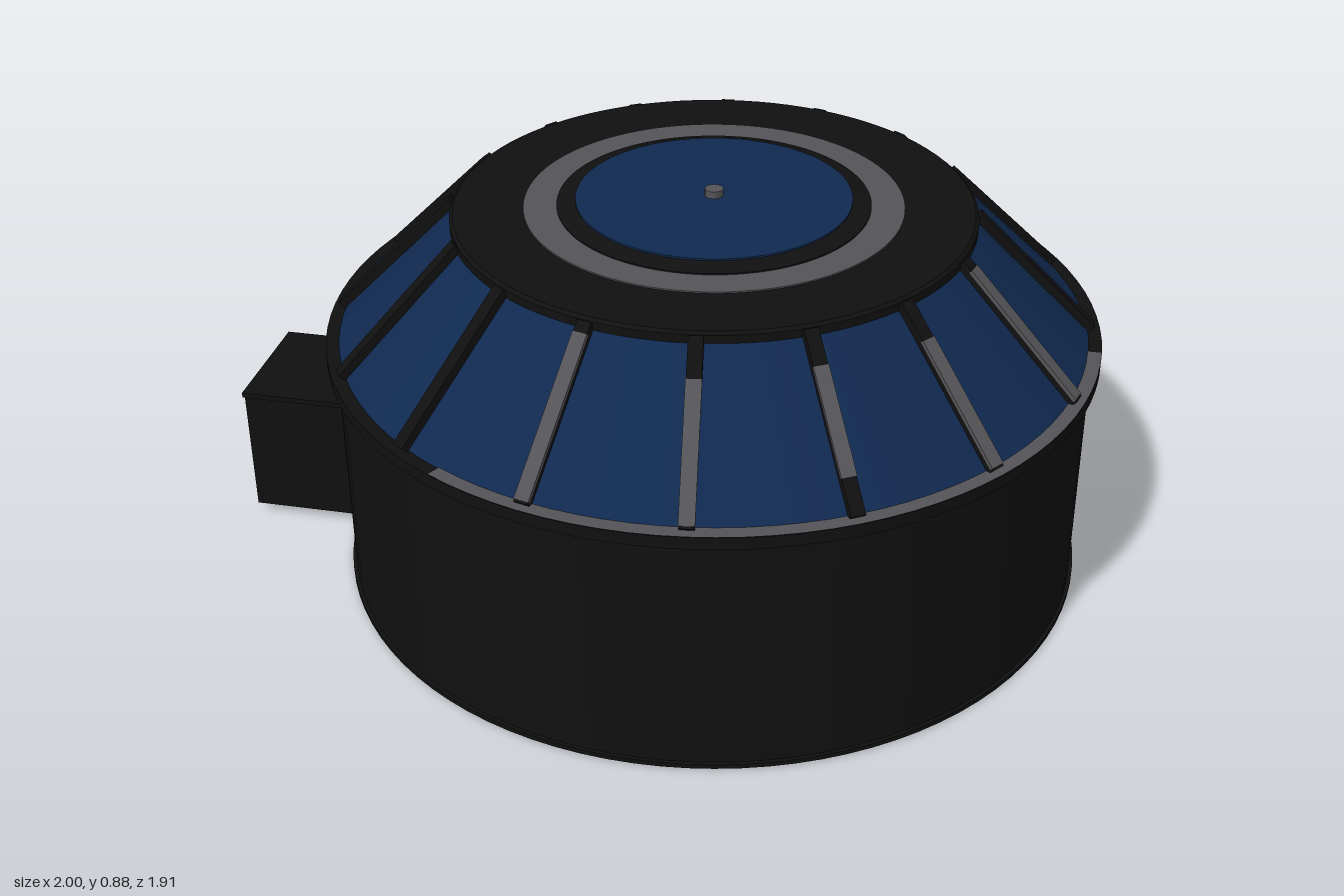
import * as THREE from 'three';
import { toCreasedNormals } from 'three/addons/utils/BufferGeometryUtils.js';

const mat = (name, color) => {
  const m = new THREE.MeshStandardMaterial({ color });
  m.name = name;
  return m;
};

export function createModel() {
  const black = mat('black metal', 0x101010);
  const blue = mat('blue glass', 0x10294f);
  const grey = mat('grey metal', 0x545458);
  const brown = mat('brown trim', 0x4a3a26);
  const darkBrown = mat('dark brown trim', 0x2c261c);

  const model = new THREE.Group();
  model.name = 'roundBuilding';
  const hub = new THREE.Group(); // everything is arranged around this axis
  hub.name = 'hub';
  hub.position.z = 0.115;
  model.add(hub);

  const add = (name, geometry, material, parent = hub) => {
    const mesh = new THREE.Mesh(geometry, material);
    mesh.name = name;
    parent.add(mesh);
    return mesh;
  };
  // Revolved profile; angles in degrees measured from the front (+z)
  const turn = (name, material, points, from = 0, sweep = 360) => {
    const g = new THREE.LatheGeometry(points.map(([r, y]) => new THREE.Vector2(r, y)),
      Math.round(sweep / 3.75), THREE.MathUtils.degToRad(from), THREE.MathUtils.degToRad(sweep));
    return add(name, toCreasedNormals(g, 0.4), material);
  };

  // Drum with a slim foot
  turn('drum', black, [[0, 0], [0.83, 0], [0.83, 0.01], [0.822, 0.01], [0.822, 0.545]]);
  turn('rim', black, [[0.81, 0.54], [0.842, 0.54], [0.842, 0.567], [0.79, 0.567]]);
  turn('frontRimTrim', grey, [[0.842, 0.569], [0.79, 0.569]], -60, 120);

  // Sloping glass and flat roof
  turn('glassSlope', blue, [[0.815, 0.566], [0.55, 0.83]]);
  turn('roof', black, [[0.53, 0.818], [0.562, 0.818], [0.562, 0.836], [0.555, 0.842], [0, 0.842]]);
  turn('roofRing', grey, [[0.406, 0.842], [0.406, 0.845], [0.32, 0.845]]);
  turn('skylightCurb', black, [[0.335, 0.843], [0.335, 0.848], [0.31, 0.856], [0, 0.856]]);
  turn('skylight', blue, [[0.295, 0.855], [0.295, 0.86], [0, 0.86]]);
  const knob = add('roofKnob', new THREE.CylinderGeometry(0.02, 0.02, 0.017, 16), grey);
  knob.position.y = 0.867;

  // Sixteen struts; the front five carry a grey facing
  for (let i = 0; i < 16; i++) {
    const spoke = new THREE.Group();
    spoke.name = 'strut';
    spoke.rotation.y = (i * Math.PI) / 8;
    hub.add(spoke);
    const slope = new THREE.Group();
    slope.position.set(0, 0.697, 0.688);
    slope.rotation.x = Math.PI / 4;
    spoke.add(slope);
    add('strutBar', new THREE.BoxGeometry(0.03, 0.03, 0.37), black, slope);
    const k = Math.min(i, 16 - i);
    if (k <= 2) {
      const [length, shift] = [[0.22, 0], [0.28, 0.04], [0.34, 0.01]][k];
      add('strutFacing', new THREE.BoxGeometry(0.032, 0.008, length), grey, slope)
        .position.set(0, 0.013, shift);
    }
  }

  // Five box bays fanned around the back
  for (let i = -2; i <= 2; i++) {
    const bay = new THREE.Group();
    bay.name = 'backBay';
    bay.rotation.y = Math.PI + (i * Math.PI) / 6;
    hub.add(bay);
    add('bayBody', new THREE.BoxGeometry(0.282, 0.295, 0.326), black, bay)
      .position.set(0, 0.168, 0.903);
    add('bayLid', new THREE.BoxGeometry(0.29, 0.012, 0.33), black, bay)
      .position.set(0, 0.319, 0.905);
  }

  // Trim on the underside
  turn('undersideInnerTrim', darkBrown, [[0.18, -0.002], [0.45, -0.002]], 0, 180);
  for (let i = 0; i < 3; i++) {
    turn('undersideTrim', brown, [[0.33, -0.002], [0.45, -0.002]], 183 + i * 60, 54);
  }
  return model;
}
